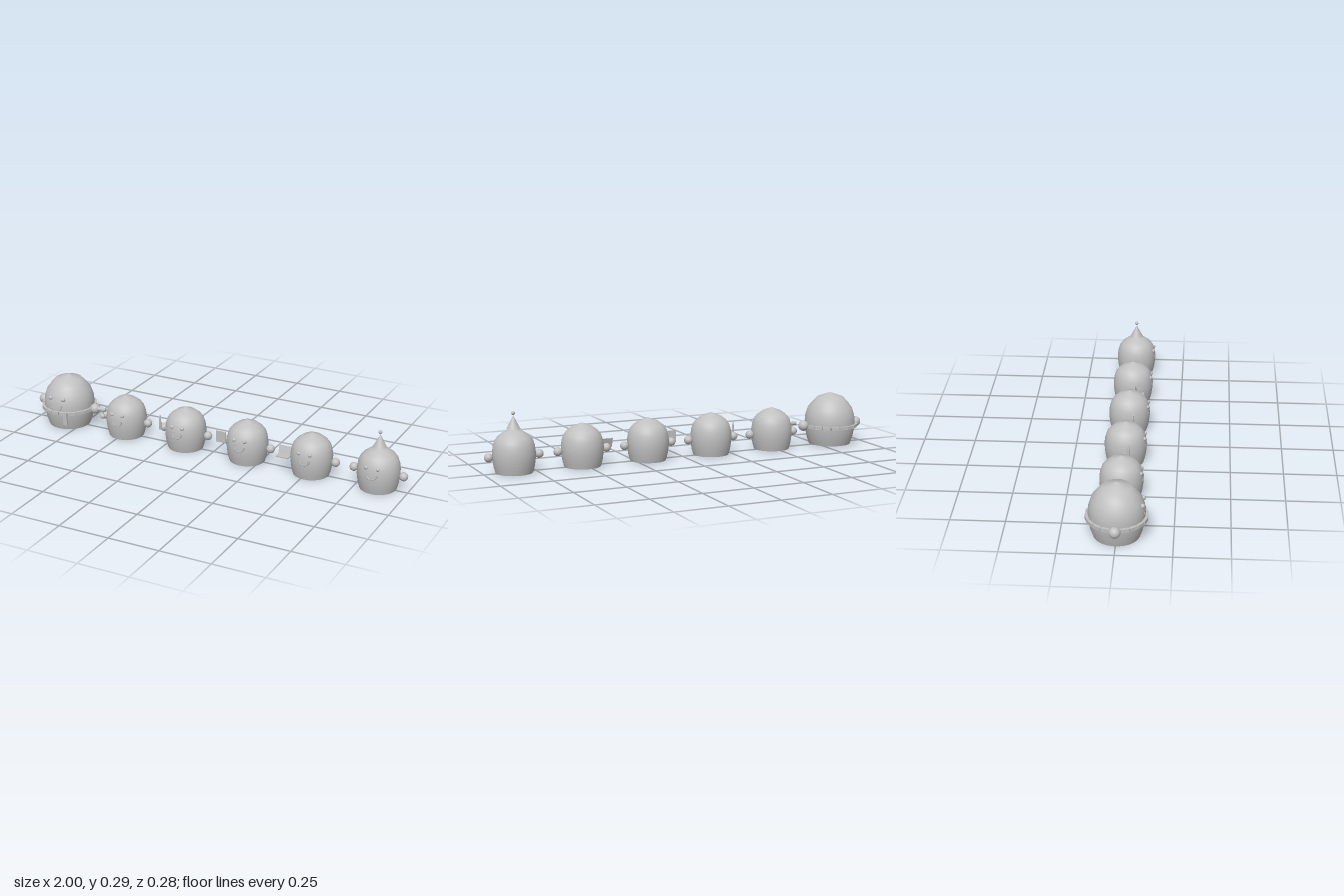
import * as THREE from 'three';

const clay = new THREE.MeshStandardMaterial({ color: 0xc0c0c0 });
clay.name = 'light grey';

function add(parent, name, geometry, x = 0, y = 0, z = 0) {
  const mesh = new THREE.Mesh(geometry, clay);
  mesh.name = name;
  mesh.position.set(x, y, z);
  parent.add(mesh);
  return mesh;
}

const ball = (r) => new THREE.SphereGeometry(r, 16, 12);

// Dome-shaped figure with two floating hands and a smiling face
function figure(name, x, profile, o) {
  const g = new THREE.Group();
  g.name = name;
  g.position.x = x;
  const points = profile.map(([r, y]) => new THREE.Vector2(r, y));
  add(g, 'body', new THREE.LatheGeometry(points, 32));
  add(g, 'base', new THREE.CircleGeometry(profile[0][0], 32)).rotation.x = Math.PI / 2;
  for (const s of [-1, 1]) {
    add(g, s < 0 ? 'rightHand' : 'leftHand', ball(o.handR), s * o.handX, o.handY, 0);
    add(g, s < 0 ? 'rightEye' : 'leftEye', ball(o.eyeR), s * o.eyeX, o.eyeY, o.eyeZ);
  }
  const smile = add(g, 'smile', new THREE.TorusGeometry(o.smileR, 0.004, 8, 16, Math.PI), 0, o.smileY, o.smileZ);
  smile.rotation.z = Math.PI;
  return g;
}

const bigProfile = [[0.104, 0], [0.116, 0.035], [0.124, 0.075], [0.1265, 0.11], [0.124, 0.145],
  [0.112, 0.183], [0.091, 0.211], [0.066, 0.238], [0, 0.262]];
const smallProfile = [[0.087, 0], [0.095, 0.03], [0.1, 0.065], [0.101, 0.095], [0.097, 0.125],
  [0.089, 0.15], [0.075, 0.169], [0.048, 0.19], [0, 0.208]];
const bigFace = { handR: 0.026, handX: 0.152, handY: 0.099, eyeR: 0.011, eyeX: 0.036, eyeY: 0.165,
  eyeZ: 0.114, smileR: 0.03, smileY: 0.134, smileZ: 0.122 };
const smallFace = { handR: 0.021, handX: 0.122, handY: 0.078, eyeR: 0.009, eyeX: 0.028, eyeY: 0.131,
  eyeZ: 0.091, smileR: 0.027, smileY: 0.104, smileZ: 0.097 };

// Segmented belt with a hanging end
function addBelt(g) {
  const belt = new THREE.Group();
  belt.name = 'belt';
  belt.position.y = 0.095;
  const count = 20;
  for (let i = 0; i < count; i++) {
    const a = (i / count) * Math.PI * 2;
    const link = add(belt, 'beltLink', new THREE.BoxGeometry(0.038, 0.016, 0.013),
      Math.sin(a) * 0.132, 0, Math.cos(a) * 0.132);
    link.rotation.y = a;
  }
  const band = [[0.122, -0.006], [0.133, -0.006], [0.133, 0.006], [0.122, 0.006]];
  add(belt, 'beltBand', new THREE.LatheGeometry(band.map(([r, y]) => new THREE.Vector2(r, y)), 40));
  g.add(belt);
  add(g, 'beltEnd', new THREE.BoxGeometry(0.022, 0.055, 0.009), 0.05, 0.063, 0.122);
}

// Things held in the right hand, placed relative to each figure
function addMallet(g) {
  add(g, 'malletHandle', new THREE.CylinderGeometry(0.004, 0.004, 0.045, 10), -0.127, 0.092, 0.022);
  const head = add(g, 'malletHead', new THREE.CylinderGeometry(0.01, 0.01, 0.042, 14), -0.129, 0.112, 0.022);
  head.rotation.z = Math.PI / 2;
  add(g, 'malletKnob', ball(0.013), -0.125, 0.078, 0.025);
}

function addPencil(g) {
  add(g, 'pencilShaft', new THREE.CylinderGeometry(0.006, 0.006, 0.06, 8), -0.132, 0.1, 0.022);
  add(g, 'pencilTip', new THREE.ConeGeometry(0.006, 0.02, 8), -0.132, 0.14, 0.022);
}

function addBoard(g) {
  add(g, 'board', new THREE.BoxGeometry(0.053, 0.058, 0.006), -0.131, 0.099, 0.024);
}

function addLaptop(g) {
  add(g, 'laptopBase', new THREE.BoxGeometry(0.064, 0.006, 0.036), -0.128, 0.076, 0.043);
  const screen = add(g, 'laptopScreen', new THREE.BoxGeometry(0.064, 0.044, 0.005), -0.128, 0.097, 0.021);
  screen.rotation.x = -0.3;
}

function addPartyHat(g) {
  add(g, 'partyHat', new THREE.ConeGeometry(0.032, 0.062, 24), 0, 0.235, 0);
  add(g, 'hatPompom', ball(0.009), 0, 0.277, 0);
}

export function createModel() {
  const model = new THREE.Group();
  model.name = 'figureRow';

  const leader = figure('beltedFigure', -0.824, bigProfile, bigFace);
  addBelt(leader);
  model.add(leader);

  const extras = [addMallet, addPencil, addBoard, addLaptop, addPartyHat];
  const names = ['malletFigure', 'pencilFigure', 'boardFigure', 'laptopFigure', 'partyFigure'];
  extras.forEach((addExtra, i) => {
    const g = figure(names[i], -0.489 + i * 0.3358, smallProfile, smallFace);
    addExtra(g);
    model.add(g);
  });
  return model;
}
